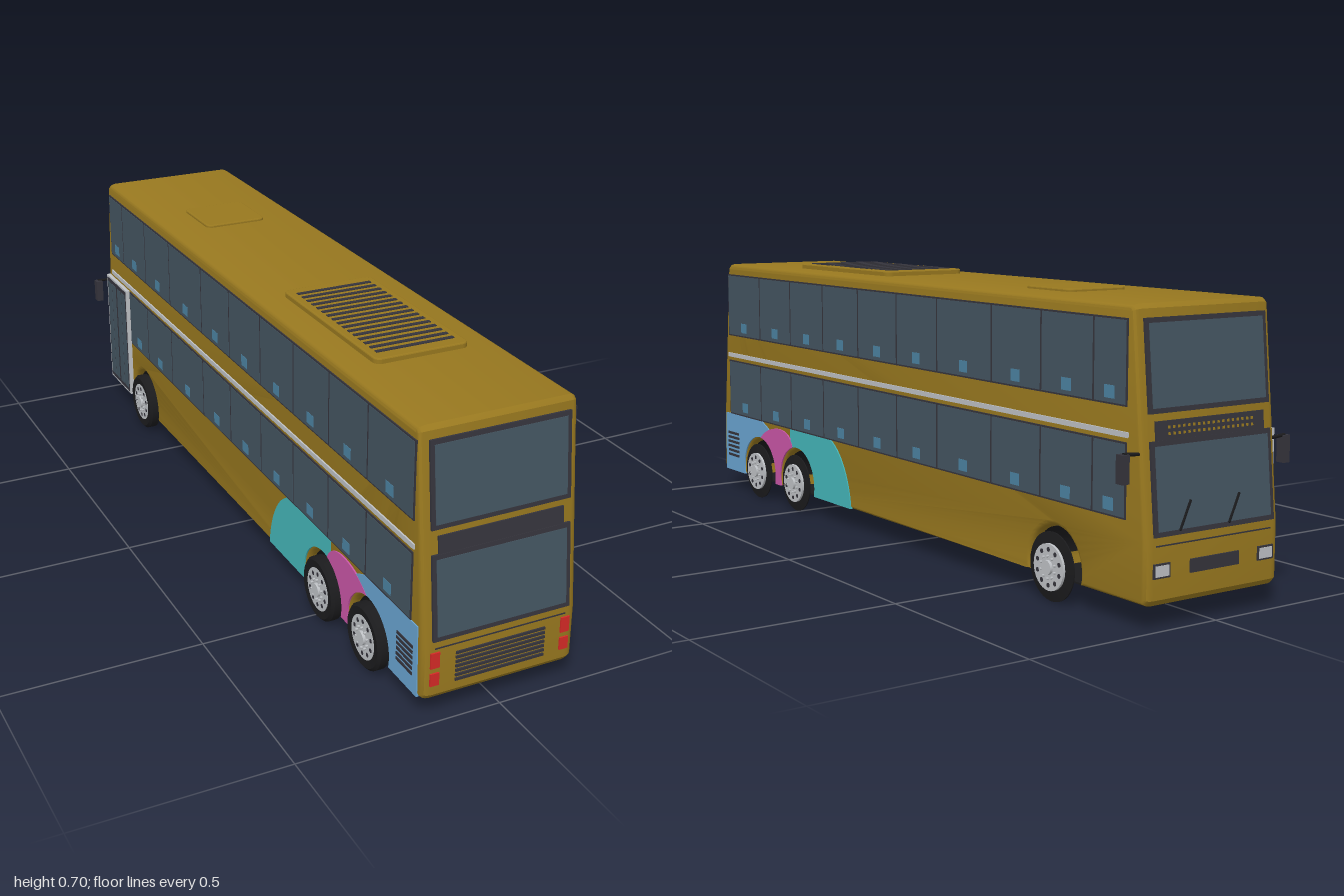
import * as THREE from 'three';
import { toCreasedNormals } from 'three/addons/utils/BufferGeometryUtils.js';

const material = (name, color) => {
  const m = new THREE.MeshStandardMaterial({ color });
  m.name = name;
  return m;
};
const gold = material('gold paint', 0x98781f);
const glass = material('tinted glass', 0x445561);
const trim = material('dark trim', 0x35343c);
const black = material('black rubber', 0x1b1b1d);
const silver = material('silver', 0xbfc2c6);
const blue = material('blue paint', 0x6aa5d2);
const pink = material('pink paint', 0xcb56a8);
const teal = material('teal paint', 0x45b7ba);
const red = material('red lens', 0xd52a26);
const sticker = material('pane sticker', 0x4c83a3);
black.side = THREE.DoubleSide;

const HALF = 0.193, BASE = 0.052, AXLE = 0.08;
const WHEELS = [-0.68, 0.516, 0.746];
const rad = THREE.MathUtils.degToRad;

function add(parent, name, geometry, mat, x = 0, y = 0, z = 0) {
  const mesh = new THREE.Mesh(geometry, mat);
  mesh.name = name;
  mesh.position.set(x, y, z);
  parent.add(mesh);
  return mesh;
}
const box = (parent, name, mat, w, h, d, x, y, z) =>
  add(parent, name, new THREE.BoxGeometry(w, h, d), mat, x, y, z);

// Shell: side profile with wheel arches, extruded across the width
function buildBody(parent) {
  const r = 0.09, a = Math.asin((AXLE - BASE) / r);
  const s = new THREE.Shape();
  s.moveTo(-0.98, BASE);
  for (const c of WHEELS) {
    s.lineTo(c - r * Math.cos(a), BASE);
    s.absarc(c, AXLE, r, Math.PI + a, -a, true);
  }
  s.lineTo(0.98, BASE);
  s.lineTo(0.99, 0.065);
  s.lineTo(0.99, 0.19);
  s.lineTo(0.943, 0.675);
  s.lineTo(0.932, 0.685);
  s.lineTo(-0.932, 0.685);
  s.lineTo(-0.943, 0.675);
  s.lineTo(-0.99, 0.19);
  s.lineTo(-0.99, 0.065);
  s.closePath();
  const depth = 2 * (HALF - 0.022);
  const geo = new THREE.ExtrudeGeometry(s, {
    depth, bevelThickness: 0.022, bevelSize: 0.014, bevelOffset: -0.014, bevelSegments: 4, curveSegments: 20,
  });
  geo.translate(0, 0, -depth / 2).rotateY(-Math.PI / 2);
  add(parent, 'body', toCreasedNormals(geo, 0.6), gold);
  box(parent, 'floor', black, 0.34, 0.004, 1.94, 0, 0.05, 0);
  for (const c of WHEELS) {
    const liner = new THREE.CylinderGeometry(0.089, 0.089, 0.35, 24, 1, true, 0, Math.PI);
    add(parent, 'wheelWell', liner.rotateZ(Math.PI / 2), black, 0, AXLE, c);
  }
}

// Thin painted plate lying on a side wall; shape is drawn in z, y
function sidePlate(parent, name, shape, mat, side) {
  const t = 0.006;
  const geo = new THREE.ExtrudeGeometry(shape, { depth: t, bevelEnabled: false, curveSegments: 20 });
  geo.translate(0, 0, -t / 2).rotateY(-Math.PI / 2);
  add(parent, name, geo, mat, side * HALF);
}

function buildPaint(parent, side) {
  const [, w2, w1] = WHEELS, R = 0.101, y0 = 0.055;
  const arc = (s, c, from, to) => s.absarc(c, AXLE, R, rad(from), rad(to), true);
  const b = new THREE.Shape();
  b.moveTo(0.97, y0);
  b.lineTo(0.965, 0.23);
  b.lineTo(0.73, 0.23);
  b.quadraticCurveTo(0.69, 0.215, 0.66, 0.196);
  arc(b, w1, 125, -14);
  b.closePath();
  sidePlate(parent, 'bluePanel', b, blue, side);

  const p = new THREE.Shape();
  p.moveTo(w2 + R * Math.cos(rad(-14)), y0);
  arc(p, w1, 194, 95);
  p.quadraticCurveTo(0.69, 0.22, 0.62, 0.221);
  p.quadraticCurveTo(0.56, 0.22, 0.54, 0.18);
  arc(p, w2, 75, -14);
  p.closePath();
  sidePlate(parent, 'pinkPanel', p, pink, side * 1.004);

  const t = new THREE.Shape();
  t.moveTo(0.215, y0);
  t.bezierCurveTo(0.222, 0.13, 0.26, 0.2, 0.32, 0.23);
  t.lineTo(0.55, 0.23);
  t.quadraticCurveTo(0.53, 0.21, 0.52, 0.18);
  arc(t, w2, 85, 194 - 360 + 360);
  const teal2 = new THREE.Shape();
  teal2.moveTo(0.215, y0);
  teal2.lineTo(w2 - R * Math.cos(rad(14)), y0);
  arc(teal2, w2, 194, 70);
  teal2.lineTo(0.555, 0.23);
  teal2.lineTo(0.32, 0.23);
  teal2.bezierCurveTo(0.26, 0.2, 0.222, 0.13, 0.215, y0);
  sidePlate(parent, 'tealPanel', teal2, teal, side);

  for (let i = 0; i < 6; i++)
    box(parent, 'sideVentSlat', trim, 0.01, 0.007, 0.07, side * HALF, 0.103 + i * 0.0135, 0.915);
}

// Window bands: dark strip, glass panes and a small sticker in each pane
function buildWindows(parent, side) {
  const posts = [0.935, 0.73, 0.543, 0.356, 0.168, -0.024, -0.21, -0.44, -0.63, -0.815, -0.925];
  for (const [y0, y1, lower] of [[0.47, 0.655, false], [0.23, 0.395, true]]) {
    const cuts = lower && side < 0 ? [...posts.slice(0, 9), -0.78] : posts;
    const end = cuts[cuts.length - 1], y = (y0 + y1) / 2;
    box(parent, 'windowBand', trim, 0.006, y1 - y0, cuts[0] - end, side * HALF, y, (cuts[0] + end) / 2);
    for (let i = 0; i < cuts.length - 1; i++) {
      const z = (cuts[i] + cuts[i + 1]) / 2;
      box(parent, 'sidePane', glass, 0.008, y1 - y0 - 0.008, cuts[i] - cuts[i + 1] - 0.007, side * HALF, y, z);
      box(parent, 'paneSticker', sticker, 0.0095, 0.028, 0.034, side * HALF, y0 + 0.027, z);
    }
  }
  box(parent, 'sideStripe', silver, 0.008, 0.012, 1.87, side * HALF, 0.411, 0.005);
}

function buildDoor(parent) {
  const door = new THREE.Group();
  door.name = 'door';
  door.position.set(-0.198, 0.228, -0.872);
  parent.add(door);
  box(door, 'doorFrame', silver, 0.012, 0.335, 0.17, 0, 0, 0);
  for (const s of [-1, 1]) {
    box(door, 'doorLeaf', trim, 0.014, 0.323, 0.076, 0, 0, s * 0.0395);
    for (const k of [-1, 1])
      box(door, 'doorPane', glass, 0.016, 0.3, 0.031, 0, 0, s * 0.0395 + k * 0.0175);
  }
}

// Shared sloping glazing of both ends; returns the upright and tilted groups
function buildEnd(parent, name, turn) {
  const end = new THREE.Group(), tilt = new THREE.Group();
  end.name = name;
  tilt.name = name + 'Glazing';
  end.rotation.y = turn;
  tilt.position.set(0, 0.19, 0.99);
  tilt.rotation.x = -0.097;
  end.add(tilt);
  parent.add(end);
  for (const [y0, y1] of [[0.458, 0.658], [0.2, 0.401]]) {
    const y = (y0 + y1) / 2 - 0.19;
    box(tilt, 'windowFrame', trim, 0.344, y1 - y0, 0.012, 0, y, 0);
    box(tilt, 'endWindow', glass, 0.324, y1 - y0 - 0.022, 0.015, 0, y, 0);
  }
  box(tilt, 'signPanel', trim, 0.31, 0.042, 0.009, 0, 0.231, 0);
  return [end, tilt];
}

function buildTailEnd(parent) {
  const [end] = buildEnd(parent, 'tailEnd', 0);
  for (let i = 0; i < 7; i++) box(end, 'grilleSlat', trim, 0.226, 0.006, 0.008, 0, 0.09 + i * 0.0113, 0.99);
  for (const s of [-1, 1]) {
    box(end, 'lowerTailLight', red, 0.022, 0.031, 0.008, s * 0.165, 0.105, 0.99);
    box(end, 'upperTailLight', red, 0.022, 0.038, 0.008, s * 0.165, 0.153, 0.99);
  }
  box(end, 'panelSeam', trim, 0.33, 0.003, 0.003, 0, 0.181, 0.99);
}

function buildDriverEnd(parent) {
  const [end, tilt] = buildEnd(parent, 'driverEnd', Math.PI);
  // Dotted sign above the windscreen
  for (let i = 0; i < 18; i++)
    for (const dy of [-0.007, 0.007])
      box(tilt, 'signDot', gold, 0.006, 0.006, 0.011, -0.119 + i * 0.014, 0.231 + dy, 0);
  box(end, 'bumperGrille', trim, 0.14, 0.03, 0.008, 0, 0.128, 0.99);
  box(end, 'panelSeam', trim, 0.33, 0.003, 0.003, 0, 0.181, 0.99);
  for (const s of [-1, 1]) {
    box(end, 'headlightSurround', trim, 0.046, 0.032, 0.007, s * 0.15, 0.128, 0.99);
    box(end, 'headlight', silver, 0.038, 0.024, 0.009, s * 0.15, 0.128, 0.99);
    const wiper = box(tilt, 'wiper', black, 0.004, 0.07, 0.004, s * 0.07 - 0.02, 0.05, 0.011);
    wiper.rotation.z = -0.5;
    // Mirror on a curved arm
    const arm = new THREE.CatmullRomCurve3([
      new THREE.Vector3(s * 0.17, 0.372, 0.955), new THREE.Vector3(s * 0.2, 0.376, 0.962),
      new THREE.Vector3(s * 0.233, 0.378, 0.96)]);
    add(end, 'mirrorArm', new THREE.TubeGeometry(arm, 8, 0.004, 6), black);
    box(end, 'mirrorHead', trim, 0.019, 0.062, 0.022, s * 0.232, 0.347, 0.958);
  }
}

// Raised roof panel with rounded corners
function roofPanel(parent, name, w, len, z, height) {
  const s = new THREE.Shape(), x = w / 2, y = len / 2, r = 0.018;
  s.absarc(x - r, y - r, r, 0, Math.PI / 2);
  s.absarc(-x + r, y - r, r, Math.PI / 2, Math.PI);
  s.absarc(-x + r, -y + r, r, Math.PI, Math.PI * 1.5);
  s.absarc(x - r, -y + r, r, Math.PI * 1.5, Math.PI * 2);
  const geo = new THREE.ExtrudeGeometry(s, {
    depth: height - 0.003, bevelThickness: 0.003, bevelSize: 0.004, bevelOffset: -0.004, bevelSegments: 2, curveSegments: 5,
  });
  add(parent, name, geo.rotateX(-Math.PI / 2), gold, 0, 0.685, z);
}

function buildRoof(parent) {
  roofPanel(parent, 'roofUnit', 0.24, 0.48, 0.38, 0.013);
  roofPanel(parent, 'roofHatch', 0.172, 0.172, -0.505, 0.007);
  for (let i = 0; i < 16; i++)
    box(parent, 'roofSlat', trim, 0.2, 0.004, 0.011, 0, 0.698, 0.18 + i * 0.0267);
}

function buildWheel(parent, side, z) {
  const wheel = new THREE.Group();
  wheel.name = 'wheel';
  wheel.position.set(0, AXLE, z);
  wheel.rotation.y = side > 0 ? 0 : Math.PI;
  parent.add(wheel);
  const profile = side < 0
    ? [[0.053, 0.175], [0.072, 0.175], [0.08, 0.182], [0.08, 0.203], [0.073, 0.21], [0.053, 0.208]]
    : [[0.053, 0.196], [0.08, 0.196], [0.08, 0.199], [0.053, 0.203]];
  const tyre = new THREE.LatheGeometry(profile.map(([r, x]) => new THREE.Vector2(r, x)), 32);
  add(wheel, 'tyre', toCreasedNormals(tyre.rotateZ(-Math.PI / 2), 0.5), black);
  const disc = (name, mat, r, x0, x1, y = 0, dz = 0, n = 12) =>
    add(wheel, name, new THREE.CylinderGeometry(r, r, x1 - x0, n).rotateZ(-Math.PI / 2), mat, (x0 + x1) / 2, y, dz);
  disc('rim', silver, 0.054, 0.2, 0.209, 0, 0, 32);
  disc('hub', silver, 0.017, 0.2, 0.216, 0, 0, 20);
  for (let i = 0; i < 10; i++) {
    const a = i * Math.PI / 5, c = Math.cos(a), s = Math.sin(a);
    disc('rimHole', trim, 0.0055, 0.204, 0.2096, 0.041 * c, 0.041 * s);
    disc('wheelNut', silver, 0.003, 0.204, 0.215, 0.026 * c, 0.026 * s, 6);
  }
}

export function createModel() {
  const bus = new THREE.Group();
  bus.name = 'doubleDeckBus';
  buildBody(bus);
  buildRoof(bus);
  buildTailEnd(bus);
  buildDriverEnd(bus);
  buildDoor(bus);
  for (const side of [-1, 1]) {
    buildPaint(bus, side);
    buildWindows(bus, side);
    for (const z of WHEELS) buildWheel(bus, side, z);
  }
  return bus;
}
